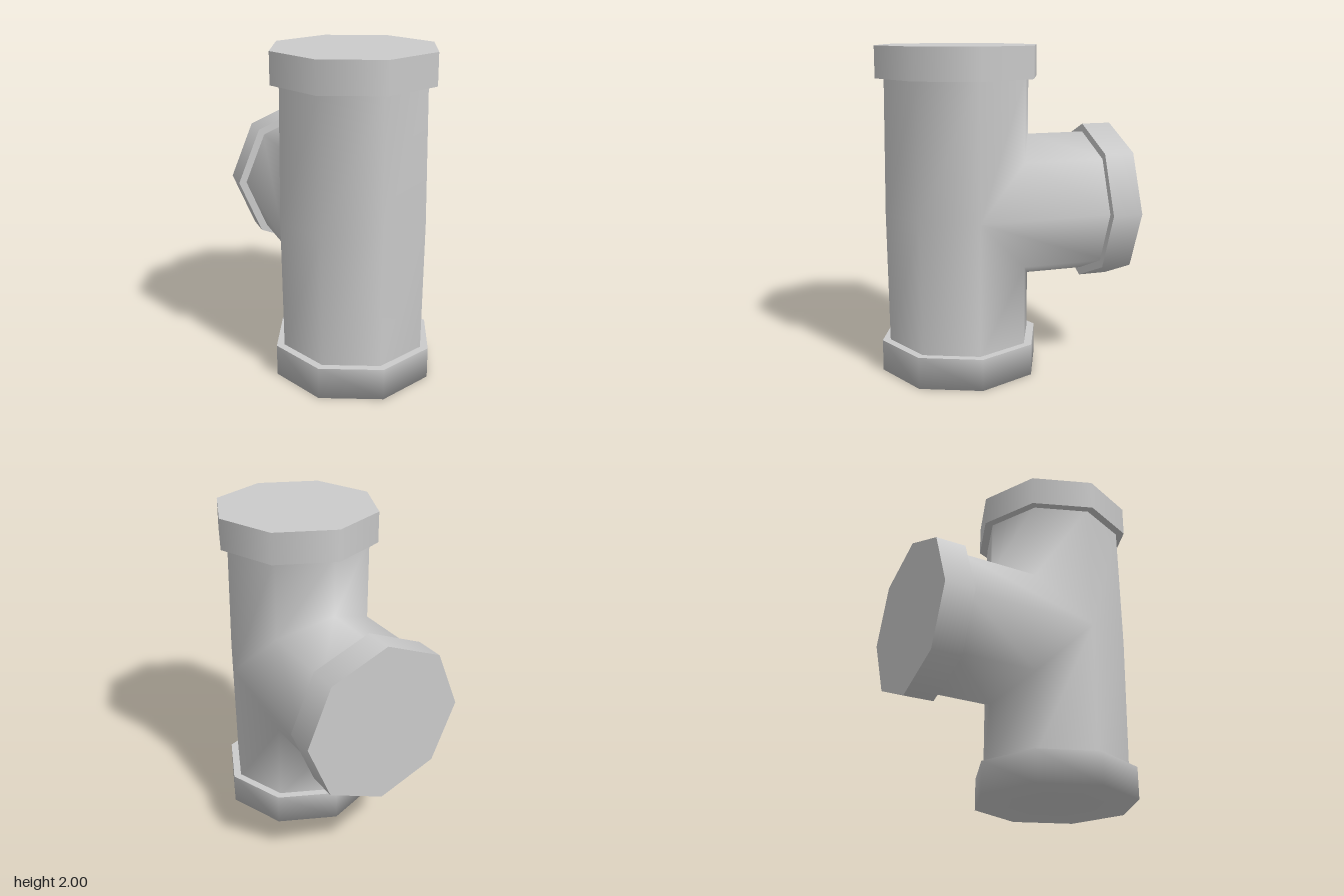
import * as THREE from 'three';
import { mergeVertices } from 'three/addons/utils/BufferGeometryUtils.js';

const SIDES = 8;
const AXIS_Z = 0.25; // centre line of the upright pipe
const PIPE_R = 0.45;
const MID_R = 0.46; // slight swelling at mid height
const MID_Y = 1;
const END_Z = -0.6; // branch end, hidden inside its collar

const material = new THREE.MeshStandardMaterial({ color: 0xcccccc });

function addMesh(parent, geometry, name) {
  const mesh = new THREE.Mesh(geometry, material);
  mesh.name = name;
  parent.add(mesh);
  return mesh;
}

// Upright pipe and rear branch, mitred into one smooth skin
function teeGeometry() {
  const positions = [];
  const quad = (a, b, c, d) => {
    for (const p of [a, b, c, a, c, d]) positions.push(p.x, p.y, p.z);
  };

  const columns = [];
  for (let i = 0; i < SIDES; i++) {
    const angle = (i / SIDES) * Math.PI * 2;
    const s = Math.sin(angle);
    const c = Math.cos(angle);
    const at = (r, y) => new THREE.Vector3(r * s, y, AXIS_Z + r * c);
    const isRear = c < -0.01;
    const half = isRear ? -PIPE_R * c : 0; // half height of the branch opening here
    const r = isRear ? PIPE_R : MID_R;
    columns.push({
      bottom: at(PIPE_R, 0.18),
      low: at(r, MID_Y - half),
      high: at(r, MID_Y + half),
      top: at(PIPE_R, 1.83),
      endLow: new THREE.Vector3(PIPE_R * s, MID_Y - half, END_Z),
      endHigh: new THREE.Vector3(PIPE_R * s, MID_Y + half, END_Z),
    });
  }

  for (let i = 0; i < SIDES; i++) {
    const a = columns[i];
    const b = columns[(i + 1) % SIDES];
    quad(a.bottom, b.bottom, b.low, a.low);
    quad(a.high, b.high, b.top, a.top);
    // Branch walls run back from the opening edge
    if (i >= SIDES / 4 && i < (SIDES * 3) / 4) {
      quad(b.high, a.high, a.endHigh, b.endHigh);
      quad(a.low, b.low, b.endLow, a.endLow);
    }
  }

  const geometry = new THREE.BufferGeometry();
  geometry.setAttribute('position', new THREE.Float32BufferAttribute(positions, 3));
  const merged = mergeVertices(geometry);
  merged.computeVertexNormals();
  return merged;
}

export function createModel() {
  const model = new THREE.Group();
  model.name = 'teePipe';

  addMesh(model, teeGeometry(), 'pipeBody');

  // Top collar
  const topCollar = addMesh(model, new THREE.CylinderGeometry(0.503, 0.503, 0.19, SIDES), 'topCollar');
  topCollar.position.set(0, 1.905, AXIS_Z);

  // Rear collar on the branch
  const rearCollar = addMesh(model, new THREE.CylinderGeometry(0.5, 0.5, 0.187, SIDES), 'rearCollar');
  rearCollar.rotation.x = -Math.PI / 2;
  rearCollar.position.set(0, MID_Y, -0.661);

  // Bottom collar: underside shades smoothly into the walls, upper ledge is crisp
  const bottomCollar = new THREE.Group();
  bottomCollar.name = 'bottomCollar';
  bottomCollar.position.z = AXIS_Z;
  const profile = [[0, 0], [0.5, 0], [0.5, 0.195]].map(([x, y]) => new THREE.Vector2(x, y));
  addMesh(bottomCollar, new THREE.LatheGeometry(profile, SIDES), 'bottomCollarShell');
  const ledge = addMesh(bottomCollar, new THREE.CircleGeometry(0.5, SIDES), 'bottomCollarLedge');
  ledge.rotation.x = -Math.PI / 2;
  ledge.position.y = 0.195;
  model.add(bottomCollar);

  return model;
}
